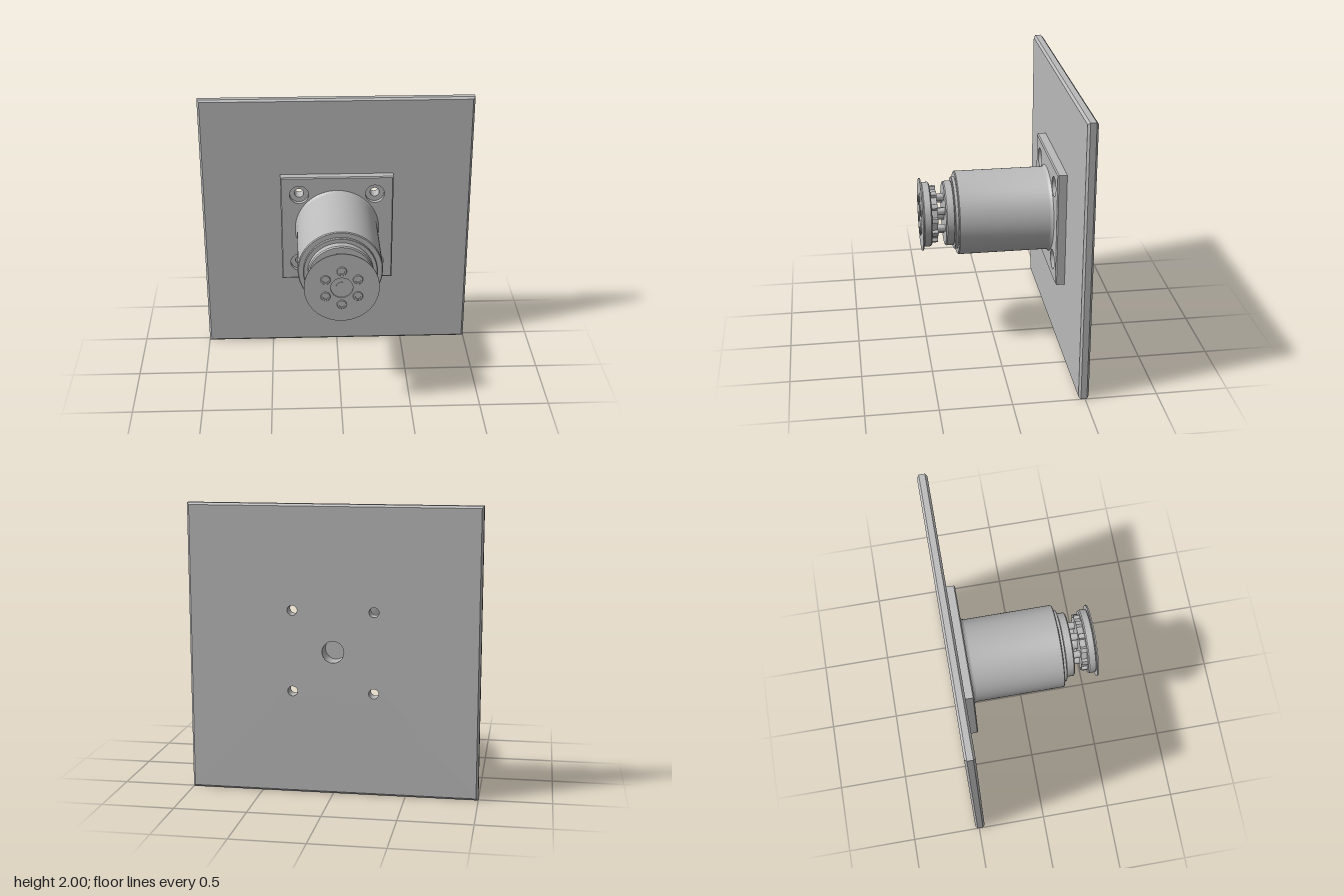
import * as THREE from 'three';
import { toCreasedNormals } from 'three/addons/utils/BufferGeometryUtils.js';

const steel = new THREE.MeshStandardMaterial({ color: 0xbababa });
steel.name = 'grey steel';

const HOLES = [[-0.28, -0.28], [0.28, -0.28], [-0.28, 0.28], [0.28, 0.28]];

function addMesh(parent, name, geometry) {
  const mesh = new THREE.Mesh(toCreasedNormals(geometry, 0.5), steel);
  mesh.name = name;
  parent.add(mesh);
  return mesh;
}

// Turned part along z; profile is [radius, z] from back to front
function turned(profile, segments = 64) {
  return new THREE.LatheGeometry(profile.map(([r, z]) => new THREE.Vector2(r, z)), segments).rotateX(Math.PI / 2);
}

// Solid disc with chamfered rims
function disc(r, z0, z1, c = 0) {
  return turned(c ? [[0, z0], [r - c, z0], [r, z0 + c], [r, z1 - c], [r - c, z1], [0, z1]]
    : [[0, z0], [r, z0], [r, z1], [0, z1]]);
}

// Square plate with drilled holes and chamfers of size c0 at the back and c1 at the front
function plate(half, z0, z1, holeRadius, boreRadius, c0, c1) {
  const shape = new THREE.Shape([[-half, -half], [half, -half], [half, half], [-half, half]]
    .map(([x, y]) => new THREE.Vector2(x, y)));
  const drill = (x, y, r) => shape.holes.push(new THREE.Path().absarc(x, y, r, 0, Math.PI * 2, true));
  HOLES.forEach(([x, y]) => drill(x, y, holeRadius));
  if (boreRadius) drill(0, 0, boreRadius);
  const depth = z1 - z0;
  const g = new THREE.ExtrudeGeometry(shape, { depth, steps: 3, bevelEnabled: false, curveSegments: 32 });
  const p = g.attributes.position;
  const layerZ = [0, c0 || depth / 3, depth - (c1 || depth / 3), depth];
  for (let i = 0; i < p.count; i++) {
    const layer = Math.round(p.getZ(i) / depth * 3);
    const inset = layer === 0 ? c0 : layer === 3 ? c1 : 0;
    const pull = (v) => (Math.abs(v) > half - 1e-4 ? Math.sign(v) * (half - inset) : v);
    p.setXYZ(i, pull(p.getX(i)), pull(p.getY(i)), z0 + layerZ[layer]);
  }
  return g;
}

export function createModel() {
  const model = new THREE.Group();
  model.name = 'wallMountedStandoff';
  const rig = new THREE.Group();
  rig.name = 'assembly';
  rig.position.y = 1;
  model.add(rig);

  // Large back plate and the counterbored mounting plate
  addMesh(rig, 'backPlate', plate(1, -0.527, -0.456, 0.034, 0.075, 0.015, 0.015));
  addMesh(rig, 'mountPlateRear', plate(0.417, -0.456, -0.425, 0.034, 0.075, 0, 0));
  addMesh(rig, 'mountPlateFront', plate(0.417, -0.425, -0.391, 0.07, 0.075, 0, 0.008));

  // Main barrel with flared foot and chamfered front rim
  addMesh(rig, 'barrel', turned([
    [0, -0.391], [0.312, -0.391], [0.308, -0.385], [0.302, -0.378], [0.299, -0.365],
    [0.299, 0.264], [0.293, 0.27], [0, 0.27],
  ], 96));

  // Stepped collar and rear disc
  addMesh(rig, 'collar', disc(0.259, 0.268, 0.293, 0.003));
  addMesh(rig, 'rearDisc', disc(0.231, 0.29, 0.355, 0.008));

  // Notched ring behind the front disc
  const outline = [];
  for (let i = 0; i < 12; i++) {
    for (const [r, t] of [[0.185, 0.04], [0.207, 0.12], [0.209, 0.28], [0.207, 0.42], [0.185, 0.5]]) {
      const a = (i + t) * Math.PI / 6;
      outline.push(new THREE.Vector2(r * Math.cos(a), r * Math.sin(a)));
    }
  }
  const ring = new THREE.ExtrudeGeometry(new THREE.Shape(outline), { depth: 0.046, bevelEnabled: false });
  addMesh(rig, 'notchedRing', ring.translate(0, 0, 0.41));

  addMesh(rig, 'frontDisc', disc(0.231, 0.452, 0.512, 0.008));

  // Thin face plate with central opening
  addMesh(rig, 'facePlate', turned([
    [0.076, 0.521], [0.076, 0.511], [0.259, 0.511], [0.259, 0.521], [0.076, 0.521],
  ]));

  // Centre spindle
  addMesh(rig, 'spindle', disc(0.045, 0.35, 0.415));
  addMesh(rig, 'spindleTip', disc(0.04, 0.51, 0.514));

  // Six posts, each with a socket-head bolt
  for (let i = 0; i < 6; i++) {
    const a = Math.PI / 2 + i * Math.PI / 3;
    const x = 0.128 * Math.cos(a), y = 0.128 * Math.sin(a);
    addMesh(rig, 'post', disc(0.026, 0.35, 0.415)).position.set(x, y, 0);
    addMesh(rig, 'boltHead', turned([
      [0.034, 0.512], [0.034, 0.525], [0.031, 0.528], [0.02, 0.528], [0.02, 0.522], [0, 0.522],
    ], 24)).position.set(x, y, 0);
  }
  return model;
}
